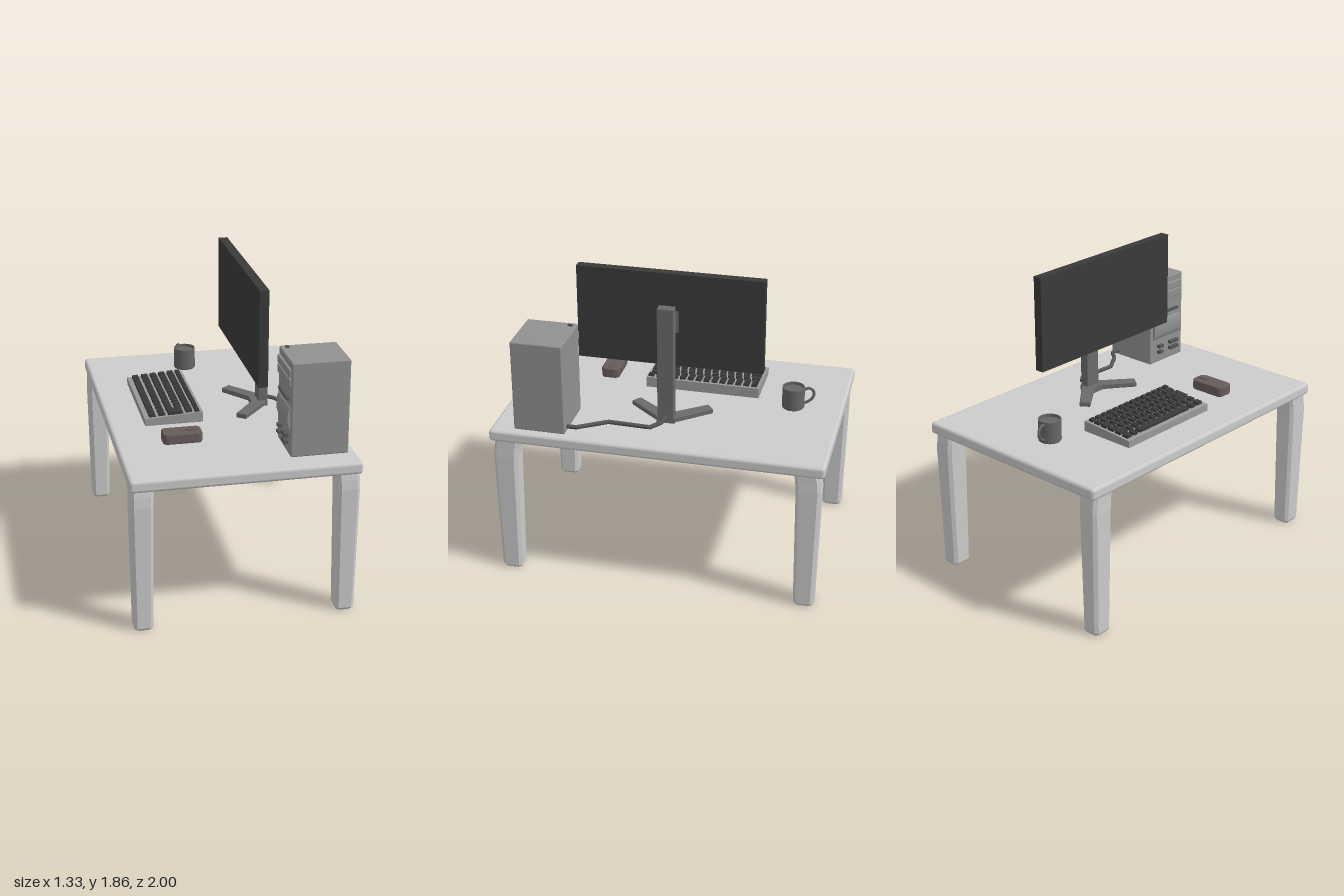
import * as THREE from 'three';
import { RoundedBoxGeometry } from 'three/addons/geometries/RoundedBoxGeometry.js';

const mat = (color, extra = {}) => new THREE.MeshStandardMaterial({ color, ...extra });
const TABLE = mat(0xcccccc), LEG = mat(0xcccccc, { flatShading: true });
const DARK = mat(0x3a3a3a), STAND = mat(0x6a6a6a), CASE = mat(0x909090), TRIM = mat(0x555555);
const BOARD = mat(0x999999), MOUSE = mat(0x665c5a), MUG = mat(0x666666, { side: THREE.DoubleSide });
const DESK = 0.957; // height of the table surface

function add(parent, name, geometry, material, x = 0, y = 0, z = 0) {
  const mesh = new THREE.Mesh(geometry, material);
  mesh.name = name;
  mesh.position.set(x, y, z);
  parent.add(mesh);
  return mesh;
}

// Box given by its limits; r > 0 rounds the edges
function block(parent, name, material, [x0, x1], [y0, y1], [z0, z1], r = 0) {
  const s = [x1 - x0, y1 - y0, z1 - z0];
  const g = r ? new RoundedBoxGeometry(...s, 2, r) : new THREE.BoxGeometry(...s);
  return add(parent, name, g, material, (x0 + x1) / 2, (y0 + y1) / 2, (z0 + z1) / 2);
}

function group(parent, name) {
  const g = new THREE.Group();
  g.name = name;
  parent.add(g);
  return g;
}

// Tapered leg: chamfered rectangles stacked from the floor to the table top
function legGeometry(sx, sz) {
  // y, centre x, centre z, half width, half depth
  const levels = [
    [0, 0.595, 0.905, 0.048, 0.053], [0.015, 0.595, 0.905, 0.056, 0.061],
    [0.78, 0.594, 0.907, 0.065, 0.073], [0.84, 0.592, 0.902, 0.065, 0.073], [0.9, 0.591, 0.892, 0.065, 0.073],
  ];
  const pos = [], index = [], n = 8, c = 0.018;
  for (const [y, cx, cz, w, d] of levels) {
    const ring = [[w, d - c], [w - c, d], [c - w, d], [-w, d - c], [-w, c - d], [c - w, -d], [w - c, -d], [w, c - d]];
    for (const [x, z] of ring) pos.push(sx * cx + x, y, sz * cz + z);
  }
  for (let l = 0; l < levels.length - 1; l++) {
    for (let i = 0; i < n; i++) {
      const a = l * n + i, b = l * n + (i + 1) % n;
      index.push(a, a + n, b, b, a + n, b + n);
    }
  }
  for (let i = 1; i < n - 1; i++) index.push(0, i, i + 1);
  const g = new THREE.BufferGeometry();
  g.setAttribute('position', new THREE.Float32BufferAttribute(pos, 3));
  g.setIndex(index);
  g.computeVertexNormals();
  return g;
}

function buildTable(root) {
  const table = group(root, 'table');
  block(table, 'tableTop', TABLE, [-0.665, 0.665], [0.883, DESK], [-1, 1], 0.02);
  for (const sx of [-1, 1]) for (const sz of [-1, 1]) add(table, 'leg', legGeometry(sx, sz), LEG);
}

function buildMonitor(root) {
  const monitor = group(root, 'monitor');
  block(monitor, 'screen', DARK, [0.155, 0.21], [1.28, 1.862], [-0.553, 0.567]);
  block(monitor, 'mountPlate', STAND, [0.208, 0.225], [1.5, 1.63], [-0.045, 0.055]);
  block(monitor, 'mountArm', STAND, [0.22, 0.285], [1.51, 1.618], [-0.035, 0.045]);
  block(monitor, 'post', STAND, [0.277, 0.335], [DESK, 1.692], [-0.045, 0.055], 0.006);
  block(monitor, 'postFoot', STAND, [0.235, 0.335], [DESK, 0.99], [-0.05, 0.06]);

  // Two splayed feet whose tips are cut parallel to the screen
  for (const s of [-1, 1]) {
    const shape = new THREE.Shape([[0.33, -0.03], [0.33, 0.04], [0.155, 0.245], [0.11, 0.21], [0.285, -0.02]]
      .map(([x, z]) => new THREE.Vector2(x, -s * z)));
    const g = new THREE.ExtrudeGeometry(shape, { depth: 0.024, bevelThickness: 0.004, bevelSize: 0.004, bevelSegments: 1 });
    add(monitor, 'foot', g.rotateX(-Math.PI / 2), STAND, 0, DESK + 0.005, 0.005);
  }

  // Cable to the computer
  const path = new THREE.CurvePath();
  const pts = [[0.32, 1.0, 0], [0.385, 0.985, 0.015], [0.437, 0.972, 0.075], [0.427, 0.972, 0.33],
    [0.51, 0.972, 0.455], [0.56, 0.985, 0.49], [0.56, 0.985, 0.56]].map(p => new THREE.Vector3(...p));
  for (let i = 1; i < pts.length; i++) path.add(new THREE.LineCurve3(pts[i - 1], pts[i]));
  add(monitor, 'cable', new THREE.TubeGeometry(path, 60, 0.013, 8), TRIM);
}

function buildComputer(root) {
  const pc = group(root, 'computer');
  block(pc, 'case', CASE, [0.277, 0.615], [DESK, 1.522], [0.545, 0.855], 0.008);
  block(pc, 'powerButton', TRIM, [0.305, 0.325], [1.52, 1.53], [0.568, 0.596]);
  // Fittings on the face beside the screen
  for (const y of [1.375, 1.43]) block(pc, 'driveBay', CASE, [0.263, 0.285], [y, y + 0.05], [0.565, 0.835], 0.006);
  block(pc, 'driveSlot', TRIM, [0.26, 0.28], [1.286, 1.3], [0.6, 0.8]);
  const bulge = new THREE.CylinderGeometry(0.065, 0.065, 0.26, 24).rotateX(Math.PI / 2).scale(0.28, 1, 1);
  add(pc, 'frontBulge', bulge, CASE, 0.278, 1.185, 0.7);
  for (const [y, z, w] of [[1.06, 0.76, 0.08], [1.02, 0.76, 0.08], [1.06, 0.63, 0.04], [1.02, 0.63, 0.04]]) {
    block(pc, 'port', TRIM, [0.252, 0.28], [y, y + 0.018], [z - w / 2, z + w / 2]);
  }
}

function buildKeyboard(root) {
  const keyboard = group(root, 'keyboard');
  // Wedge body, higher at the back edge
  const side = new THREE.Shape([[-0.455, DESK], [-0.105, DESK], [-0.105, 1.022], [-0.455, 1.0]]
    .map(p => new THREE.Vector2(...p)));
  add(keyboard, 'body', new THREE.ExtrudeGeometry(side, { depth: 0.71, bevelEnabled: false }), BOARD, 0, 0, -0.475);

  const tilt = Math.atan2(0.022, 0.35);
  function key(name, x, z0, z1, width) {
    const gap = 0.007;
    const g = new THREE.BoxGeometry(width, 0.022, z1 - z0 - 2 * gap);
    const pos = g.attributes.position; // caps taper upwards
    for (let i = 0; i < pos.count; i++) {
      if (pos.getY(i) > 0) pos.setXYZ(i, pos.getX(i) * 0.86, pos.getY(i), pos.getZ(i) * (1 - 0.006 / (z1 - z0)));
    }
    g.computeVertexNormals();
    add(keyboard, name, g, DARK, x, 1.0 + (x + 0.455) * 0.063 + 0.006, (z0 + z1) / 2).rotation.z = tilt;
  }
  // Each row: x, first z, key lengths, cap width
  const unit = 0.05, many = n => Array(n).fill(unit);
  const rows = [
    [-0.407, [0.055, 0.055, 0.46, 0.06, 0.06], 0.042],
    [-0.349, [0.085, ...many(10), 0.055, 0.05], 0.042],
    [-0.294, [0.075, ...many(11)], 0.042],
    [-0.239, [0.065, ...many(11)], 0.042],
    [-0.185, [...many(12), 0.09], 0.042],
    [-0.138, many(14), 0.028],
  ];
  for (const [x, lengths, width] of rows) {
    let z = -0.466;
    for (const length of lengths) {
      key(length > 0.2 ? 'spaceBar' : 'key', x, z, z + length, width);
      z += length;
    }
  }
  key('enterKey', -0.266, 0.14, 0.23, 0.095);
}

function buildMouse(root) {
  const mouse = group(root, 'mouse');
  const pad = (x0, x1, z0, z1, r) => {
    const s = new THREE.Shape();
    s.absarc(x1 - r, -z0 - r, r, 0, Math.PI / 2);
    s.absarc(x0 + r, -z0 - r, r, Math.PI / 2, Math.PI);
    s.absarc(x0 + r, -z1 + r, r, Math.PI, Math.PI * 1.5);
    s.absarc(x1 - r, -z1 + r, r, Math.PI * 1.5, Math.PI * 2);
    return s;
  };
  const flat = (shape, depth, bevel) => new THREE.ExtrudeGeometry(shape,
    { depth, bevelThickness: bevel, bevelSize: bevel, bevelSegments: 2, curveSegments: 8 }).rotateX(-Math.PI / 2);
  add(mouse, 'mouseBody', flat(pad(-0.389, -0.174, 0.439, 0.536, 0.022), 0.047, 0.009), MOUSE, 0, DESK + 0.009, 0);
  add(mouse, 'scrollWheel', flat(pad(-0.252, -0.188, 0.474, 0.5, 0.0125), 0.008, 0.002), MOUSE, 0, 1.019, 0);
}

function buildMug(root) {
  const mug = group(root, 'mug');
  mug.position.set(-0.042, DESK, -0.7);
  const profile = [[0, 0.003], [0.064, 0.003], [0.068, 0.008], [0.068, 0.138], [0.062, 0.138], [0.062, 0.118]]
    .map(p => new THREE.Vector2(...p));
  add(mug, 'cup', new THREE.LatheGeometry(profile, 32), mat(0x666666, { side: THREE.DoubleSide, flatShading: true }));
  add(mug, 'drink', new THREE.CircleGeometry(0.063, 32).rotateX(-Math.PI / 2), MUG, 0, 0.12, 0);
  const curve = new THREE.CatmullRomCurve3([[0.06, 0.115], [0.09, 0.127], [0.118, 0.11], [0.122, 0.075], [0.1, 0.045], [0.062, 0.025]]
    .map(([r, y]) => new THREE.Vector3(0, y, -r)));
  add(mug, 'handle', new THREE.TubeGeometry(curve, 24, 0.009, 8), MUG).rotation.y = 0.25;
}

export function createModel() {
  const root = new THREE.Group();
  root.name = 'computerDesk';
  buildTable(root);
  buildMonitor(root);
  buildComputer(root);
  buildKeyboard(root);
  buildMouse(root);
  buildMug(root);
  return root;
}
